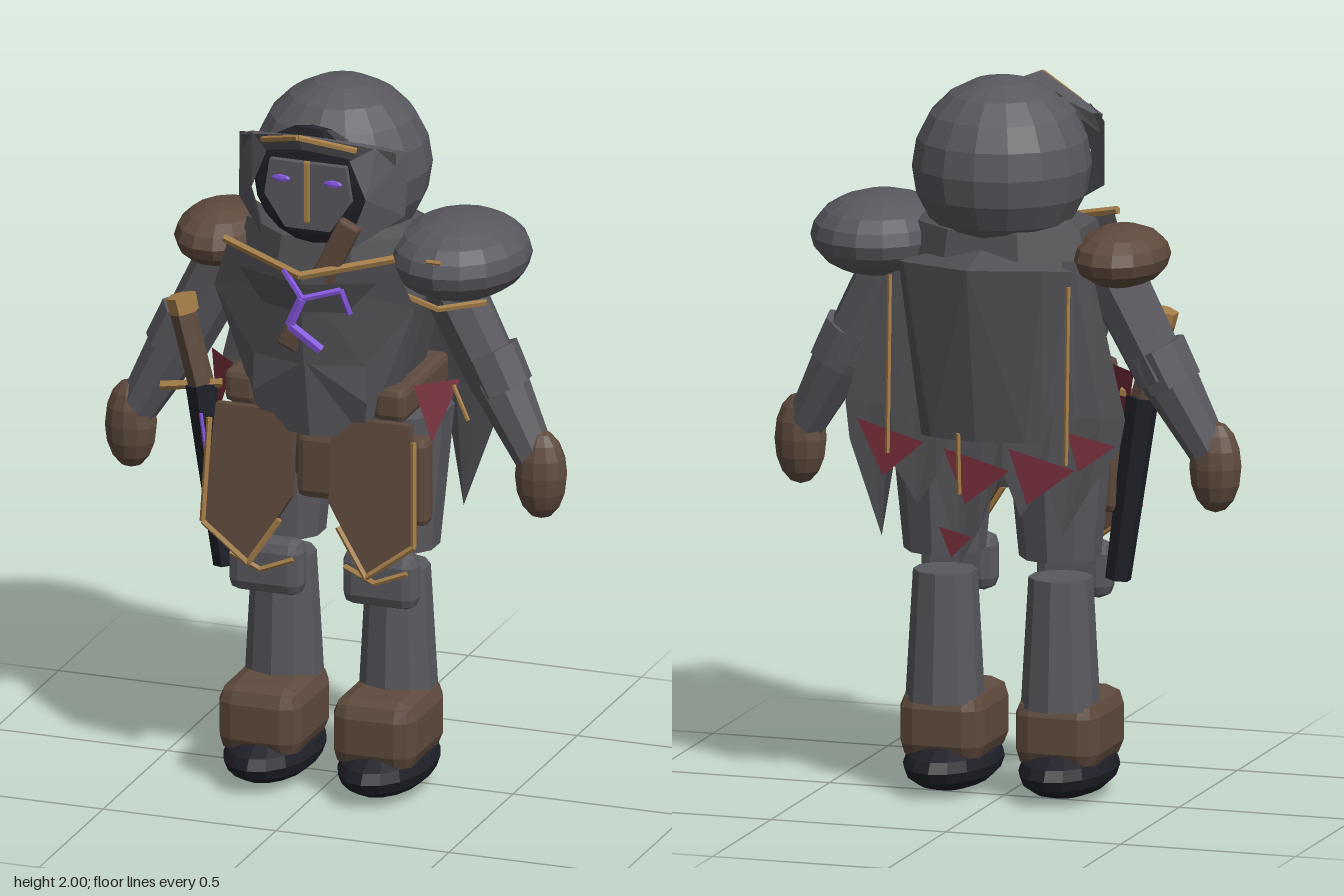
import * as THREE from 'three';
import { RoundedBoxGeometry } from 'three/addons/geometries/RoundedBoxGeometry.js';

const paint = (name, color) => {
  const m = new THREE.MeshStandardMaterial({ color, flatShading: true, side: THREE.DoubleSide });
  m.name = name;
  return m;
};

export function createModel() {
  const model = new THREE.Group();
  const steel = paint('steel grey', 0x58585e), plate = paint('plate grey', 0x515155);
  const shade = paint('shadow grey', 0x434347), leather = paint('brown leather', 0x5e4a3d);
  const dark = paint('near black', 0x1f2028), gold = paint('dull gold', 0xa67e48);
  const red = paint('dark red', 0x742d39), violet = paint('violet glow', 0x8355dc);

  const V = (p) => new THREE.Vector3(...p);
  const flip = (p, s) => [p[0] * s, p[1], p[2]];
  const add = (name, geo, mat, pos = [0, 0, 0]) => {
    const m = new THREE.Mesh(geo, mat);
    m.name = name;
    m.position.set(...pos);
    model.add(m);
    return m;
  };
  const ball = (name, mat, pos, r, w = 16, h = 10) =>
    add(name, new THREE.SphereGeometry(1, w, h), mat, pos).scale.set(...r);
  const box = (name, mat, pos, size, bevel = 0.02) =>
    add(name, new RoundedBoxGeometry(...size, 1, bevel), mat, pos);
  // Tapered rod between two points
  const bar = (name, mat, a, b, ra, rb = ra, sides = 5) => {
    const A = V(a), B = V(b), d = B.clone().sub(A);
    const m = add(name, new THREE.CylinderGeometry(rb, ra, d.length(), sides), mat);
    m.position.copy(A).add(B).multiplyScalar(0.5);
    m.quaternion.setFromUnitVectors(new THREE.Vector3(0, 1, 0), d.normalize());
  };
  const chain = (name, mat, pts, r) => pts.slice(1).forEach((p, i) => bar(name, mat, pts[i], p, r));
  // Folded sheet: fan of triangles around the first point
  const sheet = (name, mat, pts) => {
    const tri = [];
    for (let i = 1; i < pts.length - 1; i++) tri.push(V(pts[0]), V(pts[i]), V(pts[i + 1]));
    const g = new THREE.BufferGeometry().setFromPoints(tri);
    g.computeVertexNormals();
    add(name, g, mat);
  };
  // Flat outline with thickness
  const slab = (name, mat, pts, depth, pos) => add(name, new THREE.ExtrudeGeometry(
    new THREE.Shape(pts.map((p) => new THREE.Vector2(...p))), { depth, bevelEnabled: false }), mat, pos);

  // Head, dark hood opening and face mask
  ball('head', steel, [0, 1.755, -0.02], [0.245, 0.245, 0.245]);
  ball('hoodShadow', dark, [0, 1.765, 0.205], [0.172, 0.17, 0.03]);
  slab('faceMask', steel, [[-0.11, 1.84], [0.11, 1.84], [0.125, 1.74], [0.065, 1.65], [-0.065, 1.65], [-0.125, 1.74]],
    0.02, [0, 0, 0.235]);
  box('noseRidge', gold, [0, 1.76, 0.26], [0.016, 0.175, 0.015], 0.003);

  // Torso and waist
  const profile = [[0.02, 1.66], [0.13, 1.65], [0.26, 1.6], [0.3, 1.43], [0.23, 1.16], [0.2, 1.0], [0.16, 0.88], [0.02, 0.86]];
  const torso = add('torso', new THREE.LatheGeometry(
    profile.map((p) => new THREE.Vector2(...p)).reverse(), 8, Math.PI / 8), plate);
  torso.scale.z = 0.78;
  box('buckle', leather, [0, 0.94, 0.15], [0.13, 0.195, 0.06], 0.025);

  // Slanted chest strap
  const strap = box('chestStrap', leather, [0.04, 1.5, 0.27], [0.065, 0.42, 0.035], 0.008);
  strap.rotation.z = -0.45;

  // Violet mark on the chest
  chain('chestMark', violet, [[-0.05, 1.545, 0.305], [0.01, 1.475, 0.325], [0.11, 1.5, 0.29], [0.13, 1.43, 0.275]], 0.009);
  chain('chestMark', violet, [[0.01, 1.475, 0.325], [-0.025, 1.395, 0.325], [0.055, 1.325, 0.3]], 0.014);

  for (const s of [1, -1]) {
    const f = (...pts) => pts.map((p) => flip(p, s));

    // Helmet cheek, brow and eye
    sheet('cheekPlate', steel, f([0.165, 1.75, 0.245], [0.12, 1.86, 0.25], [0.18, 1.89, 0.2], [0.245, 1.86, 0.125],
      [0.24, 1.68, 0.14], [0.13, 1.61, 0.25], [0.14, 1.68, 0.25]));
    sheet('browFront', plate, f([0, 1.945, 0.325], [0, 1.895, 0.3], [0.22, 1.82, 0.16], [0.225, 1.87, 0.17]));
    sheet('browTop', steel, f([0, 1.945, 0.325], [0.225, 1.87, 0.17], [0.2, 1.875, 0.15], [0, 1.92, 0.255]));
    bar('browTrim', gold, ...f([0, 1.938, 0.328], [0.135, 1.888, 0.24]), 0.009);
    ball('eye', violet, [0.075 * s, 1.79, 0.258], [0.028, 0.011, 0.006], 8, 4);

    // Chest plate with centre crease, collar trim and belly plate
    sheet('chestPlate', plate, f([0, 1.53, 0.31], [0.235, 1.59, 0.235], [0.29, 1.44, 0.2], [0.16, 1.27, 0.24], [0, 1.27, 0.285]));
    sheet('chestInset', shade, f([0, 1.51, 0.315], [0.2, 1.52, 0.255], [0.12, 1.43, 0.272], [0, 1.43, 0.309]));
    bar('collarTrim', gold, ...f([0, 1.535, 0.31], [0.245, 1.59, 0.24]), 0.012);
    sheet('sidePanel', steel, f([0.29, 1.44, 0.2], [0.16, 1.27, 0.24], [0.15, 1.06, 0.2], [0.19, 1.06, 0.1], [0.27, 1.4, 0.05]));
    sheet('bellyPlate', steel, f([0, 1.28, 0.28], [0.16, 1.28, 0.24], [0.165, 1.16, 0.235], [0.14, 1.05, 0.2], [0, 1.05, 0.24]));

    // Arm and hand
    bar('upperArm', steel, ...f([0.3, 1.49, 0], [0.455, 1.19, 0.005]), 0.088, 0.078, 8);
    bar('elbowCuff', steel, ...f([0.43, 1.27, 0.005], [0.48, 1.17, 0.01]), 0.086, 0.082, 8);
    bar('forearm', steel, ...f([0.46, 1.2, 0.01], [0.58, 0.98, 0.03]), 0.08, 0.055, 8);
    ball('hand', leather, [0.593 * s, 0.945, 0.032], [0.074, 0.127, 0.062], 12, 8);

    // Belt blocks and hip pouches
    box('beltBlock', leather, [0.215 * s, 1.15, 0.025], [0.095, 0.095, 0.36]);
    box('hipPouch', leather, [0.26 * s, 0.91, 0.105], [0.08, 0.25, 0.07]);

    // Hip plate tilted forward, with edge trim
    const hip = slab('hipPlate', leather, f([0.055, 1.03], [0.06, 1.1], [0.28, 1.1], [0.305, 0.77], [0.17, 0.67], [0.055, 0.86])
      .map((p) => [p[0], p[1] - 1.1]), 0.03, [0, 1.1, 0.185]);
    hip.rotation.x = -0.1;
    chain('hipTrim', gold, f([0.295, 1.06, 0.222], [0.305, 0.77, 0.248], [0.17, 0.67, 0.26], [0.085, 0.8, 0.245]), 0.009);

    // Leg, knee guard and boot
    bar('thigh', steel, ...f([0.165, 1.08, -0.02], [0.165, 0.68, -0.015]), 0.15, 0.112, 10);
    bar('shin', steel, ...f([0.165, 0.26, -0.012], [0.165, 0.62, -0.01]), 0.108, 0.088, 10);
    box('kneeGuard', steel, [0.165 * s, 0.622, 0.118], [0.215, 0.16, 0.09], 0.035);
    chain('kneeTrim', gold, f([0.075, 0.66, 0.168], [0.165, 0.625, 0.178], [0.255, 0.66, 0.168]), 0.008);
    box('boot', leather, [0.165 * s, 0.19, 0.068], [0.24, 0.2, 0.305], 0.05);
    ball('sole', dark, [0.165 * s, 0.077, 0.063], [0.127, 0.077, 0.222], 16, 8);

    // Ridged back panel, narrowing downward
    sheet('backPanel', plate, f([0, 1.52, -0.325], [0.2, 1.52, -0.265], [0.135, 1.03, -0.225], [0, 1.03, -0.25]));
    sheet('backPanelSide', plate, f([0.2, 1.52, -0.265], [0.25, 1.5, -0.16], [0.17, 1.03, -0.2], [0.135, 1.03, -0.225]));
    sheet('backPanelTop', plate, f([0, 1.52, -0.325], [0.2, 1.52, -0.265], [0.25, 1.5, -0.16], [0, 1.57, -0.12]));
    bar('backCord', gold, ...f([0.255, 1.47, -0.215], [0.255, 0.98, -0.235]), 0.007);
    sheet('sideLining', red, f([0.26, 1.19, 0.13], [0.36, 1.19, 0.03], [0.31, 1.03, 0.12]));
  }
  bar('backCord', gold, [0.05, 1.05, -0.245], [0.05, 0.88, -0.235], 0.007);
  bar('forearmTrim', gold, [0.35, 1.18, 0.06], [0.4, 1.09, 0.08], 0.006);

  // Uneven shoulder guards: large steel on the left, small leather on the right
  ball('leftShoulder', steel, [0.35, 1.54, 0], [0.19, 0.115, 0.228], 16, 10);
  chain('shoulderTrim', gold, [[0.24, 1.455, 0.15], [0.35, 1.44, 0.185], [0.47, 1.455, 0.125]], 0.009);
  bar('shoulderStud', gold, [0.33, 1.585, 0.215], [0.37, 1.585, 0.215], 0.007);
  ball('rightShoulder', leather, [-0.335, 1.52, 0], [0.13, 0.085, 0.177], 14, 8);

  // Ragged cape with red lining
  const hem = [1.02, 0.9, 0.77, 0.93, 0.82, 0.95, 0.78, 0.68, 0.92, 0.84, 0.94, 0.74, 1.0];
  const capePoint = (i, y, dz = 0) => {
    const u = i / 6 - 1;
    const w = y > 1.1 ? 0.4 - (y - 1.1) * 0.28 : 0.4 - (1.1 - y) * 0.16;
    const z = -0.14 - Math.min(1, (1.52 - y) / 0.6) * 0.075;
    return [u * w, y, z + 0.03 * u * u + dz];
  };
  for (let i = 0; i < 12; i++) {
    const strip = (name, mat, topL, botL, topR, botR, dz) => sheet(name, mat,
      [capePoint(i, topL, dz), capePoint(i, botL, dz), capePoint(i + 1, botR, dz), capePoint(i + 1, topR, dz)]);
    strip('cape', plate, 1.52, 1.1, 1.52, 1.1, 0);
    strip('capeTatter', plate, 1.1, hem[i], 1.1, hem[i + 1], 0);
    if (i > 1 && i < 10) strip('capeLining', red, 1.19, hem[i] + 0.05, 1.19, hem[i + 1] + 0.05, 0.02);
  }
  // Red tears between the tatters: column, height, size
  for (const [i, y, k] of [[10, 1.0, 1], [6.1, 0.94, 1], [3.2, 0.95, 1], [1.2, 1.02, 0.7], [7.1, 0.75, 0.55]]) {
    sheet('capeTear', red, [capePoint(i - 1.5 * k, y + 0.01, -0.012), capePoint(i + 1.5 * k, y + 0.06 * k, -0.012),
      capePoint(i + 0.5 * k, y - 0.09 * k, -0.012)]);
  }

  // Sheathed sword on the right hip
  bar('scabbard', dark, [-0.292, 0.6, 0.1], [-0.362, 1.11, 0.1], 0.036, 0.046, 6);
  bar('scabbardGlow', violet, [-0.325, 0.85, 0.142], [-0.348, 1.04, 0.147], 0.006);
  bar('swordGrip', leather, [-0.365, 1.11, 0.1], [-0.42, 1.32, 0.1], 0.036, 0.036, 6);
  bar('swordPommel', gold, [-0.412, 1.31, 0.1], [-0.424, 1.355, 0.1], 0.042, 0.042, 6);
  bar('swordGuard', gold, [-0.48, 1.09, 0.1], [-0.3, 1.12, 0.1], 0.014);

  return model;
}
